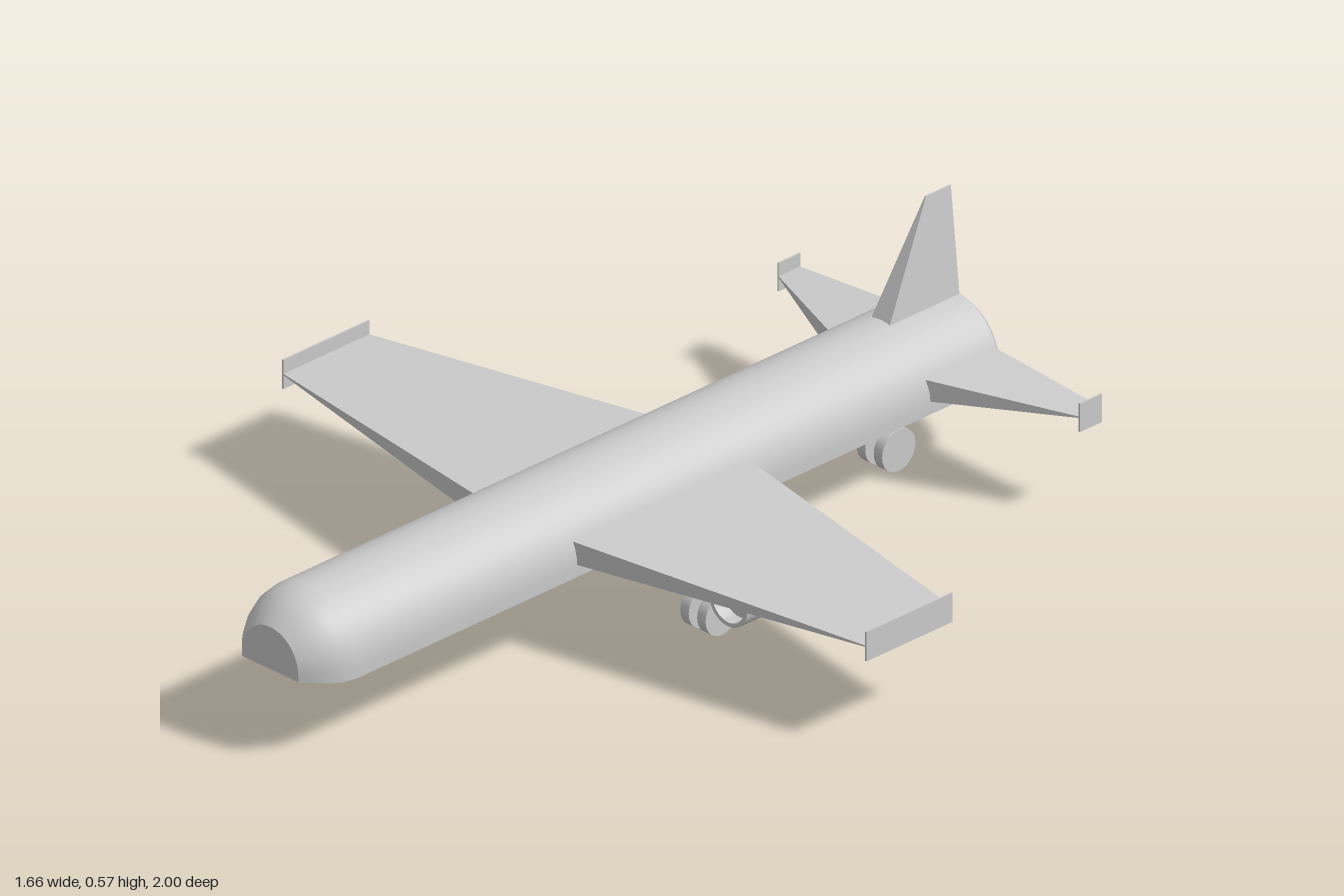
import * as THREE from 'three';
import { toCreasedNormals } from 'three/addons/utils/BufferGeometryUtils.js';

const lerp = THREE.MathUtils.lerp;

function add(parent, name, geometry, x = 0, y = 0, z = 0) {
  const material = new THREE.MeshStandardMaterial({ color: 0xcccccc });
  const mesh = new THREE.Mesh(toCreasedNormals(geometry, 0.6), material);
  mesh.name = name;
  mesh.position.set(x, y, z);
  parent.add(mesh);
  return mesh;
}

// Flat-bottomed, dome-topped hull lofted through [z, half width, bottom, top]
function fuselageGeometry() {
  const stations = [
    [-1, 0.015, 0.185, 0.2], [-0.985, 0.05, 0.181, 0.24], [-0.965, 0.085, 0.177, 0.28],
    [-0.945, 0.112, 0.173, 0.308], [-0.92, 0.138, 0.17, 0.333],
    [0.89, 0.138, 0.17, 0.333], [0.925, 0.132, 0.171, 0.328], [0.955, 0.118, 0.174, 0.314],
    [0.98, 0.1, 0.177, 0.296], [1, 0.08, 0.18, 0.275],
  ];
  const arc = 24, n = arc + 3;
  const pos = [], index = [];
  for (const [z, w, bottom, top] of stations) {
    const sill = bottom + (top - bottom) * 0.15;
    for (let j = 0; j <= arc; j++) {
      const a = (j / arc) * Math.PI;
      pos.push(w * Math.cos(a), sill + (top - sill) * Math.sin(a), z);
    }
    pos.push(-w, bottom, z, w, bottom, z);
  }
  for (let i = 0; i < stations.length - 1; i++) {
    for (let j = 0; j < n; j++) {
      const k = (j + 1) % n, a = i * n, b = a + n;
      index.push(a + j, a + k, b + k, a + j, b + k, b + j);
    }
  }
  const last = (stations.length - 1) * n;
  for (let j = 1; j < n - 1; j++) {
    index.push(0, j + 1, j, last, last + j, last + j + 1);
  }
  const g = new THREE.BufferGeometry();
  g.setAttribute('position', new THREE.Float32BufferAttribute(pos, 3));
  g.setIndex(index);
  return g;
}

// Tapered slab running along x; each end is [distance, back z, front z, thickness]
function panelGeometry(root, tip, side) {
  const g = new THREE.BoxGeometry(1, 1, 1);
  const p = g.attributes.position;
  for (let i = 0; i < p.count; i++) {
    const t = 0.5 + side * p.getX(i);
    const [d, back, front, thick] = root.map((v, k) => lerp(v, tip[k], t));
    p.setXYZ(i, side * d, p.getY(i) * thick, lerp(back, front, p.getZ(i) + 0.5));
  }
  return g;
}

// Nacelle with a recessed face at each end, lying along z
function engineGeometry() {
  const r = 0.055, inner = 0.046, h = 0.0875, deep = 0.055;
  const profile = [[0, -deep], [inner, -deep], [inner, -h], [r, -h], [r, h], [inner, h], [inner, deep], [0, deep]];
  return new THREE.LatheGeometry(profile.map(([x, y]) => new THREE.Vector2(x, y)), 32).rotateX(Math.PI / 2);
}

// Strut, axle and twin wheels
function landingGear(name, x, z, top) {
  const gear = new THREE.Group();
  gear.name = name;
  gear.position.set(x, 0, z);
  add(gear, 'strut', new THREE.BoxGeometry(0.018, top - 0.042, 0.025), 0, (top + 0.042) / 2, 0);
  add(gear, 'axle', new THREE.CylinderGeometry(0.01, 0.01, 0.05, 12).rotateZ(Math.PI / 2), 0, 0.048, 0);
  for (const s of [-1, 1]) {
    add(gear, 'wheel', new THREE.CylinderGeometry(0.047, 0.047, 0.024, 24).rotateZ(Math.PI / 2), s * 0.024, 0.047, 0);
  }
  return gear;
}

export function createModel() {
  const plane = new THREE.Group();
  plane.name = 'airplane';
  const wingY = 0.222;

  add(plane, 'fuselage', fuselageGeometry());

  // Slight bulge where the wings join
  add(plane, 'wingRootFairing', new THREE.SphereGeometry(1, 32, 16).scale(0.147, 0.045, 0.5), 0, wingY, 0.02);

  for (const side of [1, -1]) {
    const label = side > 0 ? 'left' : 'right';

    // Main wing and its end plate
    add(plane, label + 'Wing', panelGeometry([0.1, -0.231, 0.278, 0.052], [0.828, -0.1, 0.142, 0.003], side), 0, wingY, 0);
    add(plane, label + 'Winglet', new THREE.BoxGeometry(0.004, 0.066, 0.242), side * 0.828, wingY, 0.021);

    // Tailplane and its end plate
    add(plane, label + 'Tailplane', panelGeometry([0.1, -0.918, -0.708, 0.052], [0.428, -0.918, -0.858, 0.003], side), 0, wingY, 0);
    add(plane, label + 'TailWinglet', new THREE.BoxGeometry(0.004, 0.064, 0.062), side * 0.428, wingY, -0.888);

    // Engine under the wing
    add(plane, label + 'Engine', engineGeometry(), side * 0.4, 0.15, 0.018);

    plane.add(landingGear(label + 'LandingGear', side * 0.253, 0.012, 0.215));
  }
  plane.add(landingGear('tailLandingGear', 0, -0.737, 0.19));

  // Upright fin: a panel turned to point up
  const fin = panelGeometry([0.31, -0.918, -0.711, 0.056], [0.567, -0.918, -0.848, 0.003], 1);
  add(plane, 'tailFin', fin.rotateZ(Math.PI / 2));

  return plane;
}
